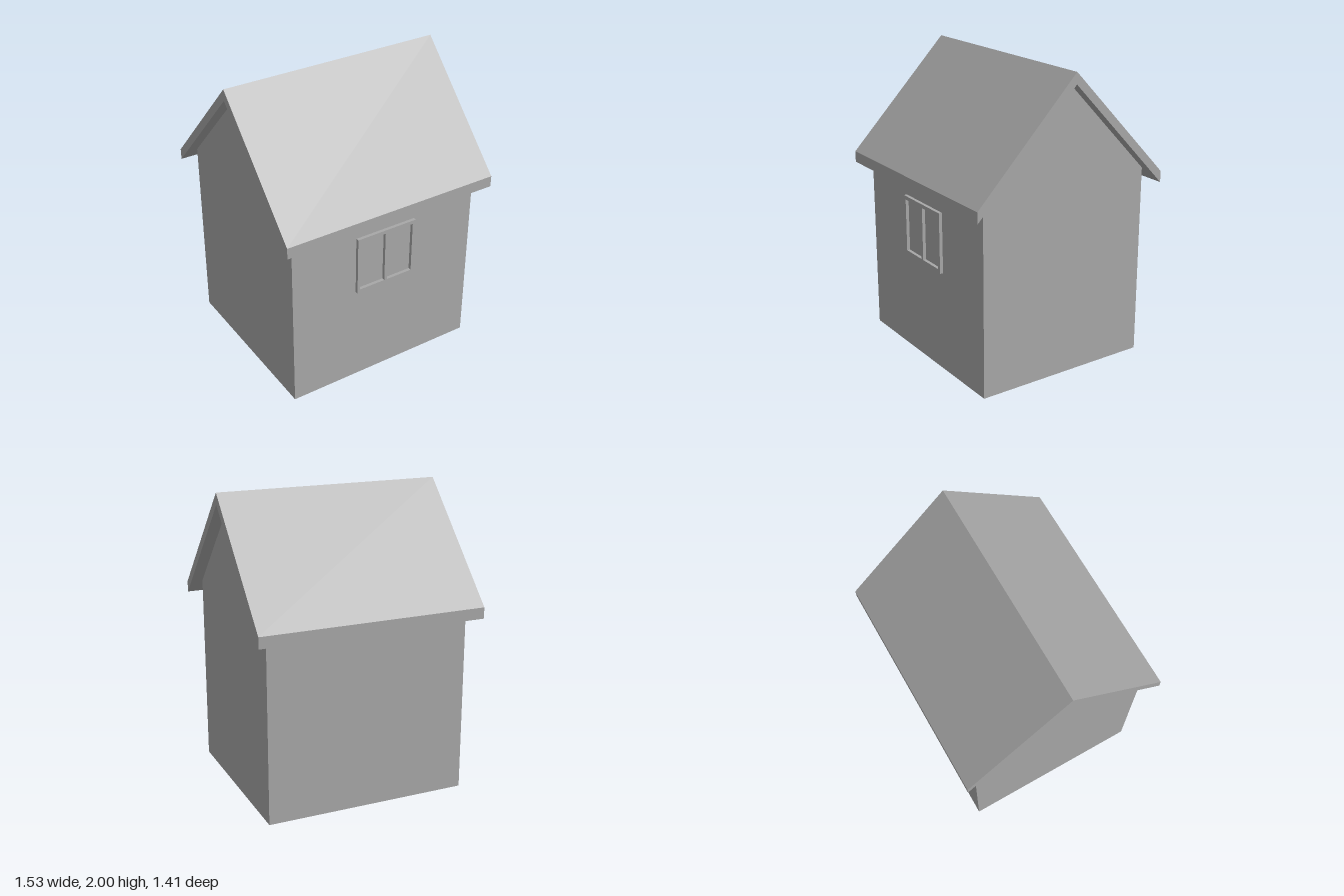
import * as THREE from 'three';

// Polygon shape from [x, y] pairs
const polygon = (pts) => new THREE.Shape(pts.map(([x, y]) => new THREE.Vector2(x, y)));

// Rectangle as corner pairs
const rect = (x0, y0, x1, y1) => [[x0, y0], [x1, y0], [x1, y1], [x0, y1]];

// Extrude a cross-section along x, centred on x = 0
function extrudeAcross(pts, length) {
  const geometry = new THREE.ExtrudeGeometry(polygon(pts), { depth: length, bevelEnabled: false });
  geometry.translate(0, 0, -length / 2);
  geometry.rotateY(Math.PI / 2);
  return geometry;
}

export function createModel() {
  const house = new THREE.Group();
  house.name = 'house';

  const grey = new THREE.MeshStandardMaterial({ color: 0xa8a8a8 });
  grey.name = 'plain grey';

  const add = (name, geometry) => {
    const mesh = new THREE.Mesh(geometry, grey);
    mesh.name = name;
    house.add(mesh);
    return mesh;
  };

  const wallZ = 0.615, eaveZ = 0.706;
  const ridge = 2, eaveTop = 1.27, thickness = 0.075;
  const slope = (ridge - eaveTop) / eaveZ;
  const wallTop = ridge - thickness - slope * wallZ;

  // Walls with pointed gables, reaching the underside of the roof
  add('walls', extrudeAcross([
    [-wallZ, 0], [wallZ, 0], [wallZ, wallTop], [0, ridge - thickness], [-wallZ, wallTop],
  ], 1.37));

  // Gabled roof slab with upright eave edges
  add('roof', extrudeAcross([
    [-eaveZ, eaveTop - thickness], [0, ridge - thickness], [eaveZ, eaveTop - thickness],
    [eaveZ, eaveTop], [0, ridge], [-eaveZ, eaveTop],
  ], 1.53));

  // Window frame with two open panes, on the front wall
  const frame = polygon(rect(-0.22, 0.683, 0.22, 1.09));
  for (const [x0, x1] of [[-0.2, -0.013], [0.01, 0.197]]) {
    frame.holes.push(polygon(rect(x0, 0.708, x1, 1.065)));
  }
  add('windowFrame', new THREE.ExtrudeGeometry(frame, { depth: 0.022, bevelEnabled: false }))
    .position.z = wallZ;

  return house;
}
